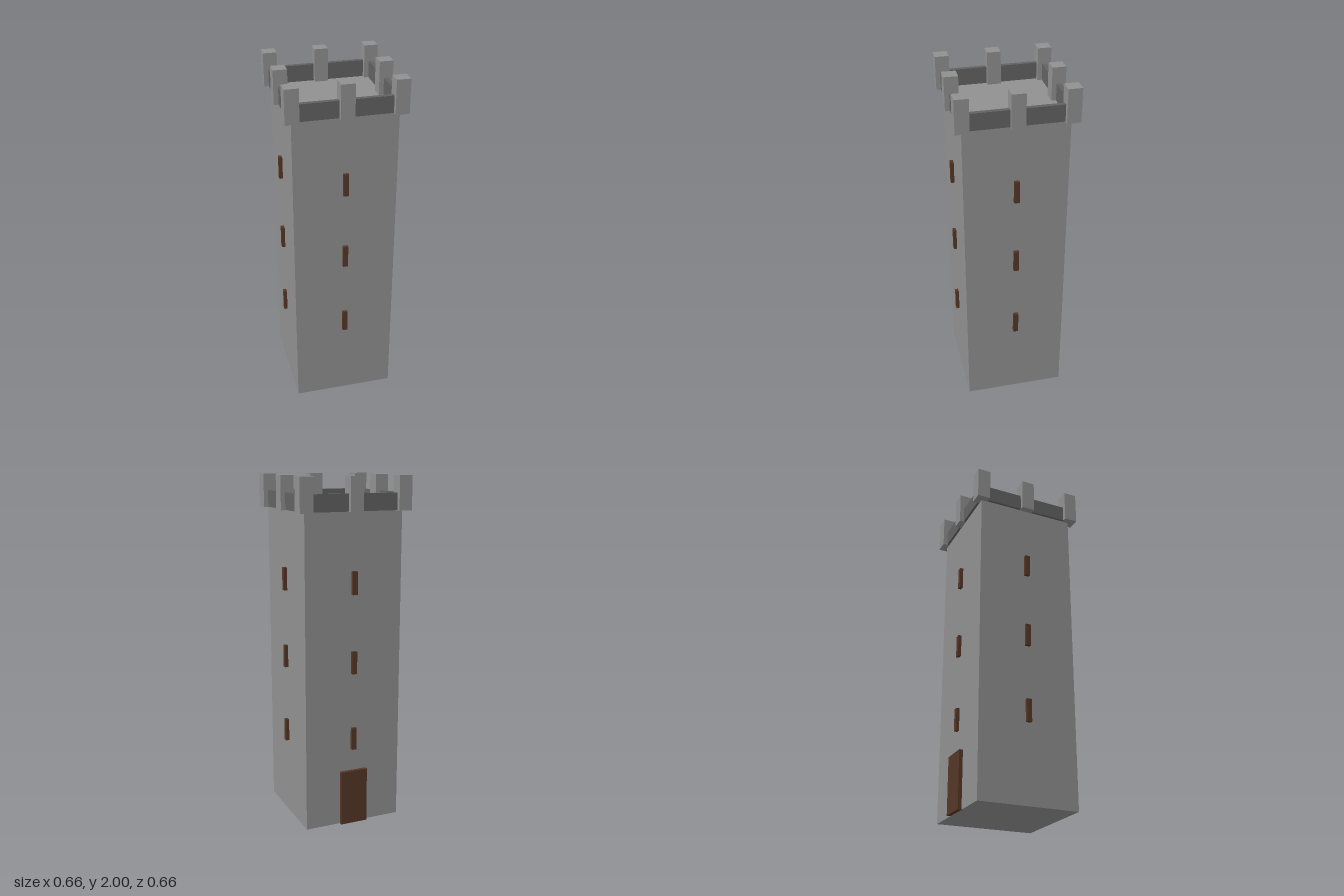
import * as THREE from 'three';

export function createModel() {
  const tower = new THREE.Group();
  tower.name = 'tower';

  const material = (name, color) => {
    const m = new THREE.MeshStandardMaterial({ color });
    m.name = name;
    return m;
  };
  const stone = material('stone', 0x909090);
  const darkStone = material('dark stone', 0x626262);
  const wood = material('dark wood', 0x553626);

  // Box standing on height y
  const box = (name, mat, w, h, d, x, y, z, parent = tower) => {
    const mesh = new THREE.Mesh(new THREE.BoxGeometry(w, h, d), mat);
    mesh.name = name;
    mesh.position.set(x, y + h / 2, z);
    parent.add(mesh);
    return mesh;
  };

  const half = 0.29;      // half width of the shaft
  const roofY = 1.812;
  const rim = 0.291;      // centre line of the battlements

  box('shaft', stone, half * 2, roofY, half * 2, 0, 0, 0);

  // One side after another: parapet wall and slit windows
  for (let i = 0; i < 4; i++) {
    const side = new THREE.Group();
    side.name = 'side' + i;
    side.rotation.y = i * Math.PI / 2;
    tower.add(side);
    box('parapet', darkStone, 0.557, 0.095, 0.025, 0.0125, roofY, rim, side);
    for (const y of [0.455, 0.906, 1.358]) {
      box('window', wood, 0.029, 0.13, 0.03, 0, y, 0.294, side);
    }
  }

  // Merlons at the corners and the middle of each side
  for (const x of [-rim, 0, rim]) {
    for (const z of [-rim, 0, rim]) {
      if (x || z) box('merlon', stone, 0.077, 0.19, 0.077, x, 1.81, z);
    }
  }

  // Door at the back
  box('door', wood, 0.162, 0.325, 0.03, 0, 0, -0.296);

  return tower;
}
